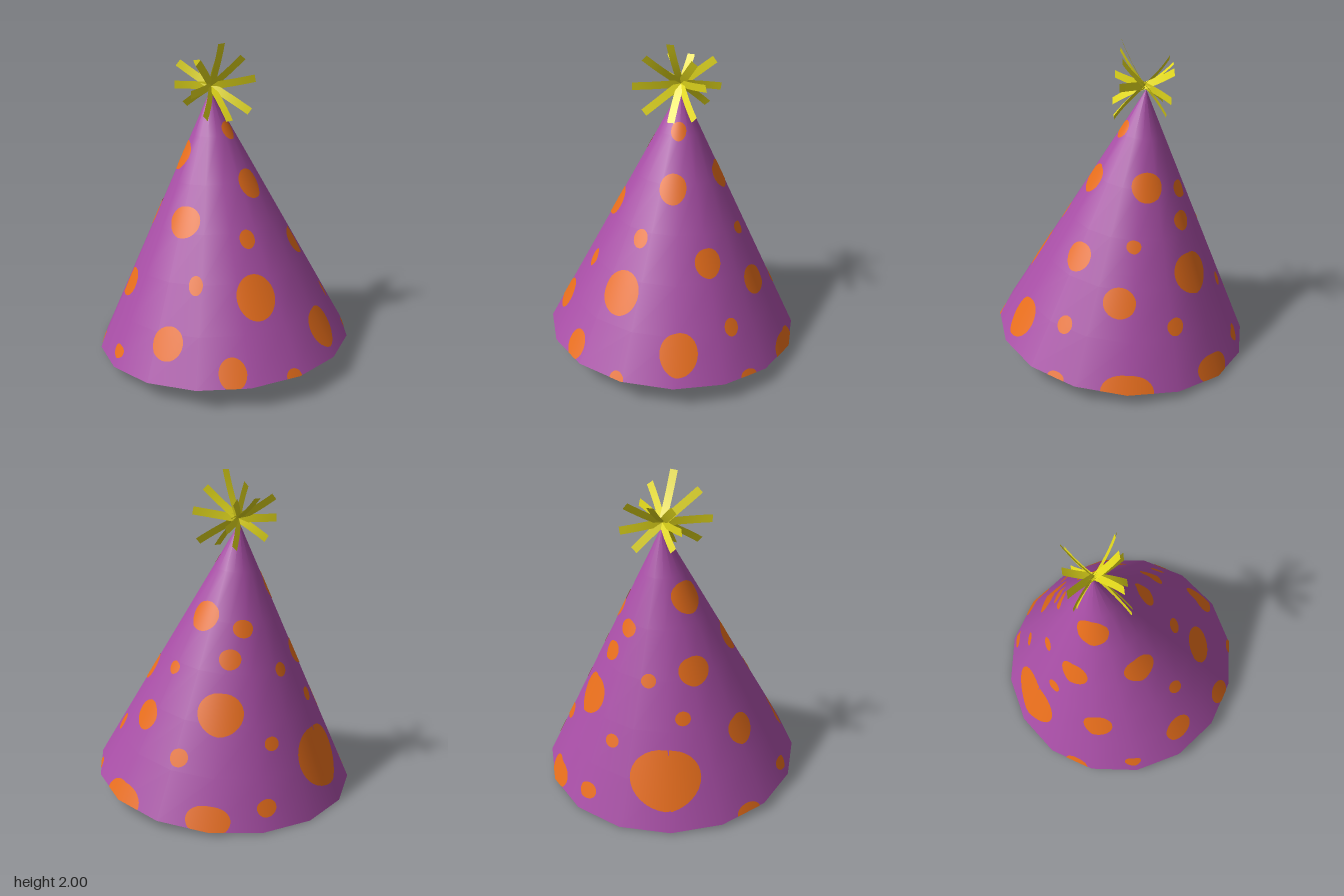
import * as THREE from 'three';
import { mergeGeometries } from 'three/addons/utils/BufferGeometryUtils.js';

const RADIUS = 0.82, HEIGHT = 1.63, SIDES = 16, TILT = -0.091;
const SLANT = Math.hypot(RADIUS, HEIGHT);

const material = (name, color) => {
  const m = new THREE.MeshStandardMaterial({ color, side: THREE.DoubleSide });
  m.name = name;
  return m;
};

// Spots: [azimuth in degrees from the front, distance from tip 0..1, half width, half height]
const OUTER_SPOTS = [
  // front
  [18, 0.152, 0.047, 0.06], [15.5, 0.347, 0.083, 0.097], [-65, 0.463, 0.107, 0.1],
  [-8.7, 0.528, 0.049, 0.06], [46, 0.598, 0.087, 0.093], [-48.5, 0.669, 0.045, 0.06],
  [-12, 0.722, 0.122, 0.142], [24.8, 0.892, 0.118, 0.134], [54, 0.825, 0.05, 0.057],
  [-61, 0.866, 0.1, 0.105], [-29.5, 0.954, 0.084, 0.098], [-2.5, 1.0, 0.05, 0.055],
  [58, 1.0, 0.06, 0.04],
  // left side and back
  [99.5, 0.327, 0.096, 0.093], [152, 0.352, 0.062, 0.055], [139, 0.453, 0.067, 0.062],
  [88, 0.522, 0.045, 0.041], [135, 0.632, 0.14, 0.128], [82, 0.71, 0.1, 0.094],
  [115, 0.79, 0.057, 0.055], [167, 0.73, 0.048, 0.042], [90, 1.0, 0.165, 0.115],
  [134, 0.97, 0.135, 0.093], [160, 0.927, 0.063, 0.052],
  // right side and back
  [-114, 0.243, 0.104, 0.1], [-132, 0.48, 0.1, 0.09], [-172.5, 0.502, 0.046, 0.044],
  [-147, 0.628, 0.048, 0.044], [-109, 0.727, 0.1, 0.095], [-159.5, 0.828, 0.22, 0.188],
  [-91, 0.945, 0.057, 0.043], [-121, 1.0, 0.085, 0.055],
];

// The lining has its own, taller spots
const INNER_SPOTS = [
  // lower front and right
  [-7.6, 0.748, 0.04, 0.09], [-38, 0.685, 0.042, 0.08], [-73, 0.7, 0.05, 0.085],
  [4.5, 0.976, 0.055, 0.13], [-30, 0.92, 0.103, 0.148], [-53, 0.933, 0.05, 0.092],
  [-79.5, 0.94, 0.083, 0.1], [-114, 0.84, 0.07, 0.075], [-155, 0.885, 0.09, 0.1],
  // left and back
  [32, 0.84, 0.05, 0.09], [62, 0.93, 0.07, 0.11], [94, 0.8, 0.08, 0.12],
  [128, 0.84, 0.06, 0.09], [162, 0.78, 0.08, 0.11], [-140, 0.66, 0.05, 0.08],
  // towards the tip
  [25, 0.58, 0.05, 0.09], [75, 0.56, 0.06, 0.09], [135, 0.54, 0.05, 0.08],
  [-100, 0.5, 0.06, 0.09], [-20, 0.42, 0.05, 0.08], [180, 0.4, 0.05, 0.08],
];

// Ribbon tips, relative to the knot at the top of the cone
const RIBBONS = [
  // front
  [-0.015, 0.28, 0.14], [-0.18, 0.18, 0.14], [0.14, 0.185, 0.14],
  [-0.25, 0.005, 0.17], [0.22, 0.05, 0.16], [-0.165, -0.145, 0.19],
  [0.16, -0.145, 0.19], [0.01, -0.185, 0.19],
  // back
  [0, 0.135, -0.17], [0.16, 0.125, -0.16], [-0.14, 0.135, -0.16],
  [0.21, -0.035, -0.14], [-0.18, 0.005, -0.14], [0.13, -0.15, -0.12], [-0.12, -0.12, -0.12],
];

// A disc wrapped onto the faceted cone, lifted to the outside (+1) or the inside (-1)
function spotGeometry([degrees, along, halfWidth, halfHeight], sideSign) {
  const geo = new THREE.RingGeometry(0, 1, 32, 10);
  const pos = geo.attributes.position, normal = geo.attributes.normal;
  const step = (Math.PI * 2) / SIDES;
  const lift = 0.003 * sideSign;
  for (let i = 0; i < pos.count; i++) {
    const s = Math.min(1, along - (pos.getY(i) * halfHeight) / SLANT);
    const a = THREE.MathUtils.degToRad(degrees) + (pos.getX(i) * halfWidth) / (RADIUS * s);
    const inFacet = THREE.MathUtils.euclideanModulo(a, step) - step / 2;
    const r = (RADIUS * s * Math.cos(step / 2)) / Math.cos(inFacet);
    const n = new THREE.Vector3(Math.sin(a) * HEIGHT, RADIUS, Math.cos(a) * HEIGHT).normalize();
    pos.setXYZ(i, Math.sin(a) * r + n.x * lift, HEIGHT * (1 - s) + n.y * lift, Math.cos(a) * r + n.z * lift);
    normal.setXYZ(i, n.x, n.y, n.z);
  }
  return geo;
}

// A narrow strip bending out from the knot, its width square to its direction seen from the front
function ribbonGeometry([x, y, z]) {
  const path = new THREE.QuadraticBezierCurve3(
    new THREE.Vector3(0, 0, 0),
    new THREE.Vector3(x * 0.45, y * 0.45, z * 0.57),
    new THREE.Vector3(x, y, z));
  const across = new THREE.Vector3(-y, x, 0).normalize();
  const geo = new THREE.PlaneGeometry(1, 1, 1, 6);
  const pos = geo.attributes.position;
  for (let i = 0; i < pos.count; i++) {
    const p = path.getPoint(pos.getY(i) + 0.5).addScaledVector(across, -pos.getX(i) * 0.048);
    pos.setXYZ(i, p.x, p.y, p.z);
  }
  geo.computeVertexNormals();
  return geo;
}

export function createModel() {
  const purple = material('purple paper', 0xa84ea6);
  const orange = material('orange spots', 0xec701c);
  const yellow = material('yellow ribbon', 0xe6dc1c);

  const model = new THREE.Group();
  model.name = 'partyHat';

  const add = (parent, name, geometry, mat) => {
    const mesh = new THREE.Mesh(geometry, mat);
    mesh.name = name;
    parent.add(mesh);
  };

  // Hat leaning slightly back, open underneath
  const hat = new THREE.Group();
  hat.name = 'hat';
  hat.position.y = 0.075;
  hat.rotation.x = TILT;
  model.add(hat);

  const cone = new THREE.ConeGeometry(RADIUS, HEIGHT, SIDES, 6, true);
  cone.translate(0, HEIGHT / 2, 0);
  add(hat, 'cone', cone, purple);
  add(hat, 'outerSpots', mergeGeometries(OUTER_SPOTS.map((s) => spotGeometry(s, 1))), orange);
  add(hat, 'innerSpots', mergeGeometries(INNER_SPOTS.map((s) => spotGeometry(s, -1))), orange);

  // Ribbon burst at the tip
  const burst = new THREE.Group();
  burst.name = 'ribbonBurst';
  burst.position.set(0, 1.722, -0.14);
  RIBBONS.forEach((tip, i) => add(burst, `ribbon${i + 1}`, ribbonGeometry(tip), yellow));
  model.add(burst);

  return model;
}
